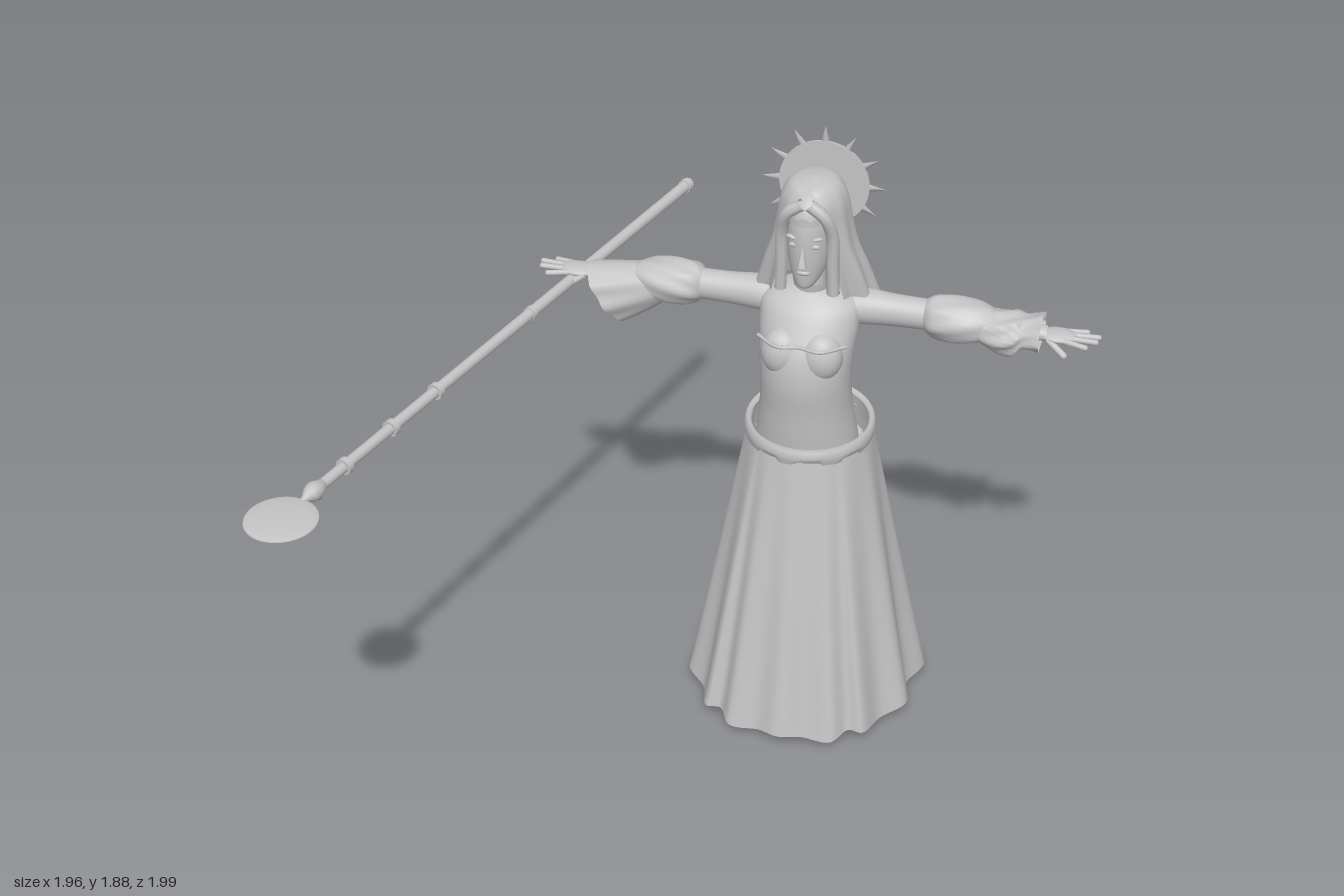
import * as THREE from 'three';

const CX = 0.167; // body centre line
const ARM_Y = 1.39, ARM_Z = -0.4;
const TAU = Math.PI * 2;
const { lerp } = THREE.MathUtils;

const stone = new THREE.MeshStandardMaterial({ color: 0xc4c4c4, side: THREE.DoubleSide });
stone.name = 'stoneGrey';

function add(parent, name, geometry, x = 0, y = 0, z = 0) {
  const mesh = new THREE.Mesh(geometry, stone);
  mesh.name = name;
  mesh.position.set(x, y, z);
  parent.add(mesh);
  return mesh;
}

// Smooth grid surface: fn(u, v) returns [x, y, z]; closed welds u = 1 to u = 0
function sheet(nu, nv, fn, closed = true) {
  const cols = closed ? nu : nu + 1, pos = [], idx = [];
  for (let j = 0; j <= nv; j++)
    for (let i = 0; i < cols; i++) pos.push(...fn(i / nu, j / nv));
  for (let j = 0; j < nv; j++)
    for (let i = 0; i < nu; i++) {
      const a = j * cols + i, b = j * cols + ((i + 1) % cols);
      idx.push(a, b, b + cols, a, b + cols, a + cols);
    }
  const g = new THREE.BufferGeometry();
  g.setAttribute('position', new THREE.Float32BufferAttribute(pos, 3));
  g.setIndex(idx);
  g.computeVertexNormals();
  return g;
}

// Smoothly interpolated row of a small table
function sample(rows, v) {
  const f = v * (rows.length - 1), i = Math.min(Math.floor(f), rows.length - 2), t = f - i;
  const at = k => rows[Math.max(0, Math.min(rows.length - 1, k))];
  return rows[i].map((p1, k) => {
    const p0 = at(i - 1)[k], p2 = at(i + 1)[k], p3 = at(i + 2)[k];
    return p1 + 0.5 * t * (p2 - p0 + t * (2 * p0 - 5 * p1 + 4 * p2 - p3 + t * (3 * (p1 - p2) + p3 - p0)));
  });
}

// Upright body from rows of [y, half width, z centre, half depth]
const upright = (rows, nu = 32) => sheet(nu, rows.length * 4, (u, v) => {
  const [y, rx, zc, rz] = sample(rows, v), a = u * TAU;
  return [CX + rx * Math.sin(a), y, zc + rz * Math.cos(a)];
});

// Sideways limb from rows of [distance from centre, y, half height, half depth, ruffle]
const sideways = (rows, s) => sheet(32, rows.length * 4, (u, v) => {
  const [d, y, ry, rz, ruffle] = sample(rows, v), a = s * u * TAU;
  const k = 1 + ruffle * Math.sin(a * 7 + v * 9);
  return [CX + s * d, y + ry * k * Math.cos(a), ARM_Z + rz * k * Math.sin(a)];
});

function buildSkirt(root) {
  // Hem outline, front centre to back pleat, as [offset from centre, z]
  const half = [[0.075, -0.085], [0.16, -0.085], [0.2, -0.14], [0.245, -0.14], [0.28, -0.24],
    [0.345, -0.31], [0.325, -0.42], [0.36, -0.53], [0.27, -0.615], [0.21, -0.645], [0.075, -0.75],
    [0.04, -0.63], [0.012, -0.585]];
  const pts = [[0, -0.055], ...half, ...half.map(([x, z]) => [-x, z]).reverse()];
  const hem = new THREE.CatmullRomCurve3(pts.map(([x, z]) => new THREE.Vector3(x, 0, z)), true);
  add(root, 'skirt', sheet(162, 16, (u, v) => {
    const p = hem.getPoint(u), a = Math.atan2(p.x, p.z + 0.4);
    const t = Math.pow(v, 0.97);
    const y = lerp(0.04 + 0.008 * Math.cos(a * 9), 0.99, v);
    return [CX + lerp(p.x, 0.178 * Math.sin(a), t), y, lerp(p.z, -0.4 + 0.187 * Math.cos(a), t)];
  }));
  // Rolled waistband with an overhanging torn edge
  add(root, 'waistband', sheet(72, 5, (u, v) => {
    const a = u * TAU, [y, r] = sample([[0.955, 0.006], [0.965, 0.012], [0.985, 0.012], [1.003, 0.004], [0.99, -0.008]], v);
    const drop = v < 0.1 ? 0.012 * Math.sign(Math.sin(a * 9)) : 0;
    return [CX + (0.178 + r) * Math.sin(a), y + drop, -0.4 + (0.186 + r) * Math.cos(a)];
  }));
}

function buildBody(root) {
  add(root, 'bodice', upright([[0.88, 0.15, -0.37, 0.12], [0.95, 0.15, -0.365, 0.13],
    [1.02, 0.142, -0.355, 0.13], [1.1, 0.133, -0.34, 0.123], [1.2, 0.13, -0.325, 0.12],
    [1.29, 0.136, -0.335, 0.12], [1.36, 0.142, -0.36, 0.11], [1.41, 0.138, -0.375, 0.092],
    [1.44, 0.105, -0.385, 0.07], [1.455, 0.055, -0.385, 0.05], [1.46, 0.042, -0.385, 0.042]]));
  for (const s of [-1, 1])
    add(root, 'bust', new THREE.SphereGeometry(1, 20, 14), CX + s * 0.055, 1.29, -0.268).scale.set(0.062, 0.075, 0.056);
  add(root, 'neck', new THREE.CylinderGeometry(0.036, 0.042, 0.14, 20), CX, 1.49, -0.375);
  add(root, 'collar', new THREE.CylinderGeometry(0.055, 0.05, 0.03, 24, 1, true), CX, 1.462, -0.38);
  // Raised neckline trim
  const line = [[-0.125, 1.335, -0.262], [-0.06, 1.333, -0.216], [0, 1.335, -0.224], [0.06, 1.333, -0.216], [0.125, 1.335, -0.262]];
  const trim = new THREE.CatmullRomCurve3(line.map(([x, y, z]) => new THREE.Vector3(CX + x, y, z)));
  add(root, 'necklineTrim', new THREE.TubeGeometry(trim, 24, 0.006, 6));
}

function buildHead(root) {
  add(root, 'head', upright([[1.497, 0.012, -0.288, 0.012], [1.505, 0.026, -0.298, 0.034],
    [1.535, 0.046, -0.325, 0.066], [1.58, 0.061, -0.345, 0.09], [1.63, 0.067, -0.355, 0.102],
    [1.68, 0.07, -0.365, 0.11], [1.73, 0.066, -0.37, 0.104], [1.765, 0.045, -0.37, 0.075], [1.78, 0.004, -0.37, 0.005]]));
  const nose = add(root, 'nose', new THREE.ConeGeometry(0.014, 0.065, 8), CX, 1.612, -0.25);
  nose.rotation.x = -0.2;
  add(root, 'lips', new THREE.SphereGeometry(1, 12, 8), CX, 1.553, -0.262).scale.set(0.02, 0.008, 0.009);
  for (const s of [-1, 1]) {
    add(root, 'eye', new THREE.SphereGeometry(1, 12, 8), CX + s * 0.029, 1.635, -0.266).scale.set(0.014, 0.008, 0.007);
    const brow = add(root, 'brow', new THREE.SphereGeometry(1, 12, 8), CX + s * 0.031, 1.658, -0.267);
    brow.scale.set(0.021, 0.005, 0.009);
    brow.rotation.z = s * 0.25;
    // Parted hair framing the face
    const lock = [[0.01, 1.755, -0.275], [0.05, 1.725, -0.275], [0.07, 1.66, -0.295], [0.072, 1.56, -0.305], [0.075, 1.47, -0.31]];
    const path = new THREE.CatmullRomCurve3(lock.map(([x, y, z]) => new THREE.Vector3(CX + s * x, y, z)));
    add(root, 'hairLock', new THREE.TubeGeometry(path, 20, 0.018, 8));
  }
  // Pointed circlet over the brow
  add(root, 'circlet', sheet(24, 1, (u, v) => {
    const a = (u - 0.5) * 2;
    return [CX + 0.076 * Math.sin(a), 1.7 + v * (0.014 + 0.012 * Math.abs(Math.cos(a * 6))), -0.367 + 0.117 * Math.cos(a)];
  }, false));
  // Veil rows: y, half width, z centre, half depth, front opening angle
  const rows = [[1.4, 0.168, -0.445, 0.145, 0.62], [1.5, 0.142, -0.42, 0.133, 0.6], [1.58, 0.118, -0.4, 0.124, 0.65],
    [1.66, 0.103, -0.388, 0.116, 0.68], [1.72, 0.094, -0.382, 0.108, 0.6], [1.76, 0.08, -0.378, 0.092, 0.35],
    [1.785, 0.055, -0.375, 0.068, 0.1], [1.797, 0.002, -0.37, 0.002, 0]];
  add(root, 'veil', sheet(80, 28, (u, v) => {
    const [y, rx, zc, rz, open] = sample(rows, v), a = lerp(open, TAU - open, u);
    const low = (1 - v) * (1 - v), k = 1 + 0.065 * low * Math.cos(a * 11);
    return [CX + rx * k * Math.sin(a), y + low * (0.012 + 0.045 * Math.cos(a)), zc + rz * k * Math.cos(a)];
  }, false));
}

function buildHalo(root) {
  const halo = new THREE.Group();
  halo.name = 'halo';
  halo.position.set(CX, 1.705, -0.5);
  root.add(halo);
  add(halo, 'haloDisc', new THREE.CylinderGeometry(0.128, 0.128, 0.006, 48)).rotation.x = Math.PI / 2;
  for (let i = 0; i < 12; i++) {
    const a = i * TAU / 12;
    const ray = add(halo, 'haloRay', new THREE.ConeGeometry(0.013, 0.055, 4), 0.148 * Math.sin(a), 0.148 * Math.cos(a), 0);
    ray.rotation.z = -a;
    ray.scale.z = 0.25;
  }
}

function buildArm(root, s) {
  const arm = new THREE.Group();
  arm.name = s > 0 ? 'leftArm' : 'rightArm';
  root.add(arm);
  add(arm, 'upperSleeve', sideways([[0.08, 1.385, 0.045, 0.06, 0], [0.14, 1.39, 0.052, 0.052, 0],
    [0.24, 1.39, 0.046, 0.043, 0], [0.35, 1.39, 0.044, 0.042, 0]], s));
  add(arm, 'puffedSleeve', sideways([[0.32, 1.39, 0.045, 0.042, 0], [0.345, 1.39, 0.058, 0.062, 0.05],
    [0.4, 1.388, 0.064, 0.07, 0.04], [0.46, 1.388, 0.058, 0.064, 0.04], [0.5, 1.388, 0.046, 0.05, 0.03], [0.53, 1.388, 0.03, 0.034, 0]], s));
  add(arm, 'forearm', sideways([[0.48, 1.388, 0.034, 0.036, 0], [0.58, 1.386, 0.028, 0.03, 0], [0.66, 1.383, 0.02, 0.026, 0]], s));
  if (s > 0) {
    add(arm, 'ruffledCuff', sideways([[0.47, 1.383, 0.045, 0.055, 0.04], [0.53, 1.37, 0.055, 0.068, 0.1],
      [0.575, 1.37, 0.056, 0.07, 0.12], [0.6, 1.378, 0.042, 0.062, 0.08], [0.645, 1.385, 0.045, 0.076, 0.08]], s));
  } else {
    // Hanging bell sleeve with a slanted mouth
    add(arm, 'bellSleeve', sheet(40, 12, (u, v) => {
      const a = -u * TAU, c = (1 + Math.cos(a)) / 2, fold = 1 + 0.08 * v * Math.sin(a * 8);
      const top = [lerp(0.42, 0.66, v), lerp(1.44, 1.405, v)], low = [lerp(0.42, 0.545, v), lerp(1.335, 1.24, Math.pow(v, 0.8))];
      return [CX - lerp(low[0], top[0], c), lerp(low[1], top[1], c), ARM_Z + lerp(0.055, 0.08, v) * fold * Math.sin(a)];
    }));
  }
  // Open hand, palm down
  add(arm, 'palm', new THREE.SphereGeometry(1, 16, 10), CX + s * 0.69, 1.381, ARM_Z).scale.set(0.055, 0.015, 0.038);
  const digit = (name, from, to, r) => {
    const path = new THREE.LineCurve3(new THREE.Vector3(CX + s * from[0], from[1], from[2]), new THREE.Vector3(CX + s * to[0], to[1], to[2]));
    add(arm, name, new THREE.TubeGeometry(path, 1, r, 8));
    add(arm, name + 'Tip', new THREE.SphereGeometry(r, 8, 6), CX + s * to[0], to[1], to[2]);
  };
  [0.765, 0.8, 0.795, 0.77].forEach((end, i) => {
    const k = 1.5 - i;
    digit('finger', [0.71, 1.381, ARM_Z - k * 0.018], [end, 1.385 - Math.abs(k) * 0.005, ARM_Z - k * 0.027], 0.0085);
  });
  digit('thumb', [0.665, 1.378, ARM_Z + 0.025], [0.715, 1.35, ARM_Z + 0.052], 0.01);
}

function buildLegs(root) {
  const side = new THREE.Shape();
  side.moveTo(-0.465, 0.005);
  side.lineTo(-0.385, 0.005);
  side.lineTo(-0.375, 0.04);
  side.quadraticCurveTo(-0.33, 0.035, -0.3, 0.008);
  side.lineTo(-0.21, 0.008);
  side.quadraticCurveTo(-0.18, 0.02, -0.21, 0.035);
  side.quadraticCurveTo(-0.32, 0.06, -0.37, 0.12);
  side.lineTo(-0.46, 0.12);
  side.closePath();
  const shoe = new THREE.ExtrudeGeometry(side, { depth: 0.075, bevelThickness: 0.012, bevelSize: 0.006, bevelSegments: 2, curveSegments: 8 });
  shoe.rotateY(-Math.PI / 2);
  for (const s of [-1, 1]) {
    add(root, 'shoe', shoe, CX + s * 0.123 + 0.0375);
    const leg = add(root, 'leg', new THREE.CylinderGeometry(0.08, 0.036, 0.85, 18), CX + s * 0.1, 0.52, -0.395);
    leg.rotation.z = s * 0.05;
  }
}

function buildStaff(root) {
  const start = new THREE.Vector3(-0.36, 1.368, -0.99), end = new THREE.Vector3(-0.845, 1.35, 0.74);
  const length = start.distanceTo(end);
  const staff = new THREE.Group();
  staff.name = 'staff';
  staff.position.copy(start);
  staff.quaternion.setFromUnitVectors(new THREE.Vector3(0, 1, 0), end.clone().sub(start).normalize());
  root.add(staff);
  add(staff, 'staffRod', new THREE.CylinderGeometry(0.015, 0.018, length, 16), 0, length / 2, 0);
  for (const [f, r] of [[0.01, 0.021], [0.475, 0.02], [0.725, 0.023], [0.835, 0.023], [0.945, 0.023]])
    add(staff, 'staffRing', new THREE.CylinderGeometry(r, r, 0.018, 16), 0, f * length, 0);
  const bead = [[0, -0.02], [0.014, -0.01], [0.027, 0.025], [0.022, 0.045], [0.01, 0.065], [0.006, 0.08]];
  add(staff, 'staffBead', new THREE.LatheGeometry(bead.map(p => new THREE.Vector2(...p)), 12), 0, length, 0);
  add(root, 'staffDisc', new THREE.SphereGeometry(1, 40, 12), -0.885, 1.35, 0.9).scale.set(0.096, 0.009, 0.097);
}

export function createModel() {
  const root = new THREE.Group();
  root.name = 'robedFigure';
  buildSkirt(root);
  buildBody(root);
  buildHead(root);
  buildHalo(root);
  buildArm(root, 1);
  buildArm(root, -1);
  buildLegs(root);
  buildStaff(root);
  return root;
}
